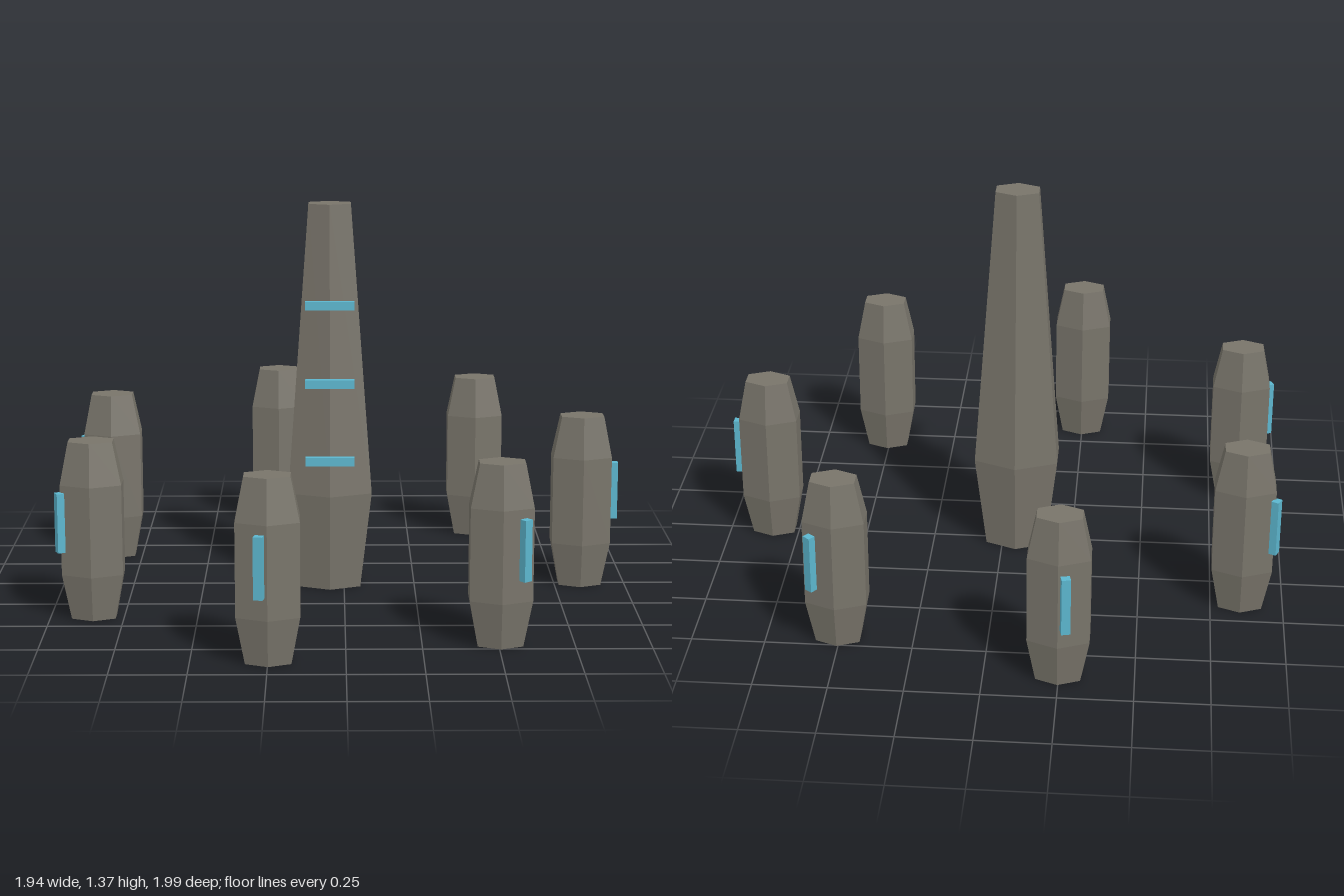
import * as THREE from 'three';

const CENTRE_X = -0.05;

const stone = new THREE.MeshStandardMaterial({ color: 0x78746a, flatShading: true });
stone.name = 'grey stone';
const glow = new THREE.MeshStandardMaterial({ color: 0x5cb6ce });
glow.name = 'rune blue';

// Six-sided stone: profile of [radius, height], squashed to its own width and depth
function hexStone(name, profile, halfWidth, halfDepth) {
  const points = [[0, 0], ...profile, [0, profile[profile.length - 1][1]]]
    .map(([r, y]) => new THREE.Vector2(r, y));
  const geometry = new THREE.LatheGeometry(points, 6);
  geometry.scale(halfWidth / Math.cos(Math.PI / 6), 1, halfDepth);
  const mesh = new THREE.Mesh(geometry, stone);
  mesh.name = name;
  return mesh;
}

function rune(name, w, h, d) {
  const mesh = new THREE.Mesh(new THREE.BoxGeometry(w, h, d), glow);
  mesh.name = name;
  return mesh;
}

export function createModel() {
  const model = new THREE.Group();
  model.name = 'stoneCircle';

  // Tall central monolith
  const monolith = hexStone('monolith',
    [[0.73, 0], [1, 0.345], [0.5, 1.365]], 0.147, 0.117);
  monolith.position.x = CENTRE_X;
  model.add(monolith);

  // Three floating bars in front of the monolith
  for (let i = 0; i < 3; i++) {
    const bar = rune('monolithRune', 0.17, 0.03, 0.024);
    bar.position.set(CENTRE_X, 0.48 + i * 0.274, 0.137);
    model.add(bar);
  }

  // Ring of seven stones, each with an upright rune on its outer side
  for (let i = 0; i < 7; i++) {
    const a = (i / 7) * Math.PI * 2;
    const ringStone = hexStone('ringStone',
      [[0.72, 0], [1, 0.157], [1, 0.468], [0.72, 0.614]], 0.103, 0.083);
    ringStone.position.set(CENTRE_X + 0.89 * Math.cos(a), 0, 0.89 * Math.sin(a));

    const mark = rune('ringRune', 0.026, 0.204, 0.03);
    mark.position.set(CENTRE_X + 1.006 * Math.cos(a), 0.342, 1.006 * Math.sin(a));
    mark.rotation.y = -a;
    model.add(ringStone, mark);
  }

  return model;
}
